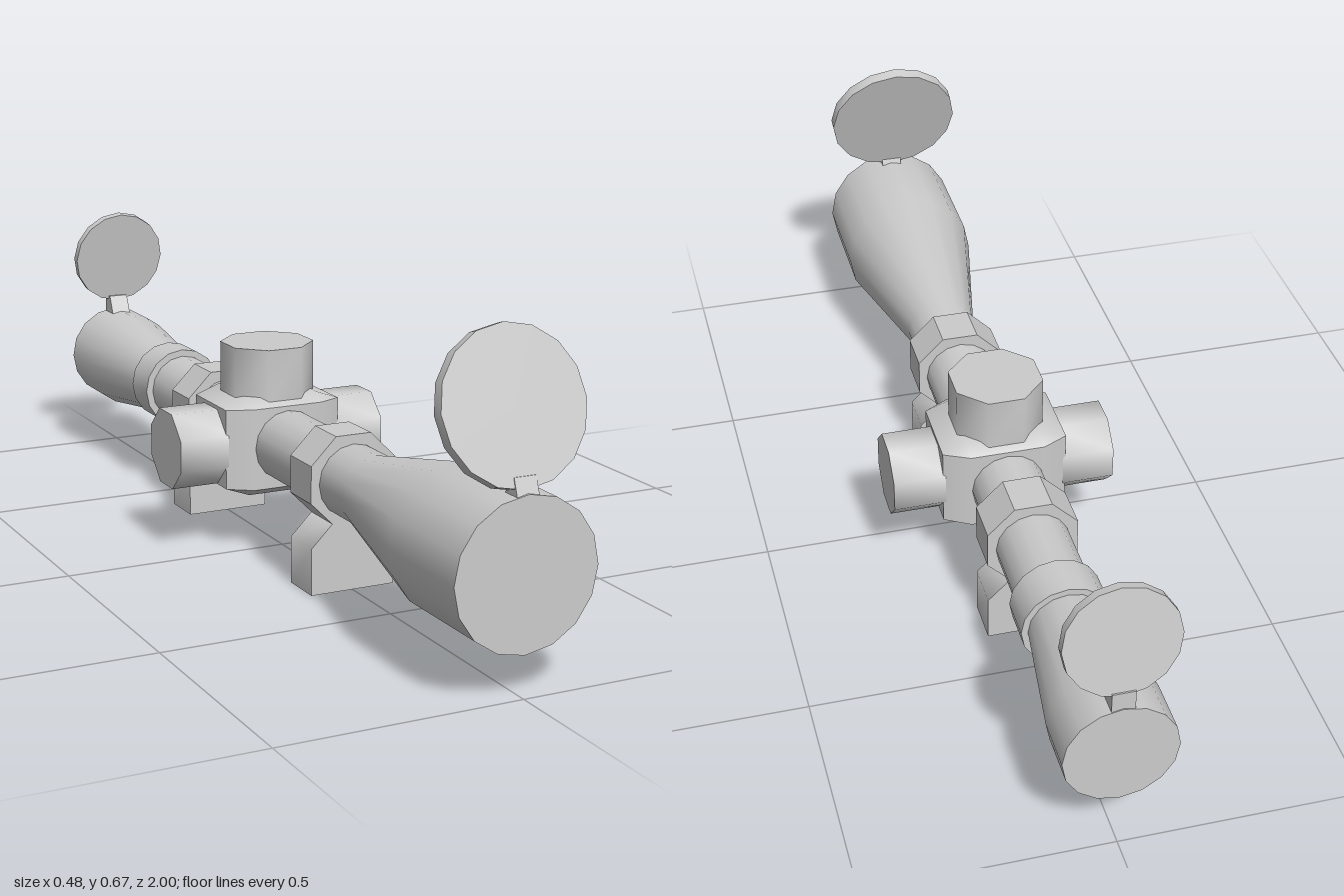
import * as THREE from 'three';
import { toCreasedNormals } from 'three/addons/utils/BufferGeometryUtils.js';
import { ConvexGeometry } from 'three/addons/geometries/ConvexGeometry.js';

const AXIS = 0.234; // height of the optical axis
const MID = -0.078; // z of the turret block
const material = new THREE.MeshStandardMaterial({ color: 0xcccccc });

export function createModel() {
  const model = new THREE.Group();

  function add(name, geometry, x, y, z, crease = 0.6) {
    const mesh = new THREE.Mesh(toCreasedNormals(geometry, crease), material);
    mesh.name = name;
    mesh.position.set(x, y, z);
    model.add(mesh);
    return mesh;
  }

  // Solid of revolution along z from [radius, z] pairs
  const turned = (profile) => new THREE.LatheGeometry(
    profile.map(([r, z]) => new THREE.Vector2(r, z)), 16).rotateX(Math.PI / 2);

  // Octagonal prism along y, measured across its flats
  const octagon = (apothem, height) => new THREE.CylinderGeometry(
    apothem / Math.cos(Math.PI / 8), apothem / Math.cos(Math.PI / 8), height, 8).rotateY(Math.PI / 8);

  // Main body: eyepiece, straight tube and objective bell
  add('body', turned([
    [0, -1], [0.114, -1], [0.114, -0.89], [0.08, -0.64],
    [0.078, -0.6], [0.078, 0.43], [0.15, 0.765], [0.15, 1], [0, 1],
  ]), 0, AXIS, 0);

  // Zoom ring in front of the eyepiece
  add('zoomRing', turned([
    [0.07, -0.642], [0.094, -0.642], [0.094, -0.552], [0.07, -0.552],
  ]), 0, AXIS, 0);

  // Turret block with bevelled edges
  const corners = [];
  for (const sx of [-1, 1]) for (const sy of [-1, 1]) for (const sz of [-1, 1]) {
    corners.push(
      new THREE.Vector3(sx * 0.135, sy * 0.088, sz * 0.08),
      new THREE.Vector3(sx * 0.08, sy * 0.09, sz * 0.109),
      new THREE.Vector3(sx * 0.08, sy * 0.108, sz * 0.08));
  }
  add('turretBlock', new ConvexGeometry(corners), 0, 0.232, MID, 0.7);

  // Adjustment knobs: one on top, one on each side
  add('topKnob', octagon(0.094, 0.125), 0, 0.3825, MID, 0.9);
  for (const side of [-1, 1]) {
    add(side > 0 ? 'leftKnob' : 'rightKnob',
      octagon(0.083, 0.132).rotateZ(Math.PI / 2), side * 0.176, 0.229, MID, 0.9);
  }

  // Mounts: octagonal ring on a foot with a narrowed neck
  const foot = new THREE.Shape([
    [-0.095, 0], [0.095, 0], [0.095, 0.1], [0.045, 0.15], [-0.045, 0.15], [-0.095, 0.1],
  ].map(([x, y]) => new THREE.Vector2(x, y)));
  for (const [place, z] of [['front', 0.287], ['rear', -0.339]]) {
    add(place + 'MountRing', octagon(0.096, 0.096).rotateX(Math.PI / 2), 0, 0.236, z);
    add(place + 'MountFoot',
      new THREE.ExtrudeGeometry(foot, { depth: 0.096, bevelEnabled: false }).translate(0, 0, -0.048),
      0, 0, z, 0.9);
  }

  // Flipped-open lens covers
  function lid(name, radius, thickness, y, z, tilt) {
    const disc = new THREE.CylinderGeometry(radius, radius, thickness, 16).rotateX(Math.PI / 2);
    add(name, disc, 0, y, z).rotation.x = tilt;
  }
  lid('frontLid', 0.15, 0.026, 0.528, 0.932, -0.31);
  lid('rearLid', 0.114, 0.02, 0.488, -0.967, 0.17);

  // Lid hinges: wedge blocks running along x, profile given as [z, y]
  function hinge(name, profile) {
    const shape = new THREE.Shape(profile.map(([z, y]) => new THREE.Vector2(-z, y)));
    const block = new THREE.ExtrudeGeometry(shape, { depth: 0.046, bevelEnabled: false });
    add(name, block.translate(0, 0, -0.023).rotateY(Math.PI / 2), 0, 0, 0);
  }
  hinge('frontHinge', [[0.955, 0.375], [0.998, 0.375], [0.984, 0.413], [0.968, 0.413]]);
  hinge('rearHinge', [[-0.998, 0.335], [-0.945, 0.335], [-0.968, 0.386], [-0.998, 0.386]]);

  return model;
}
